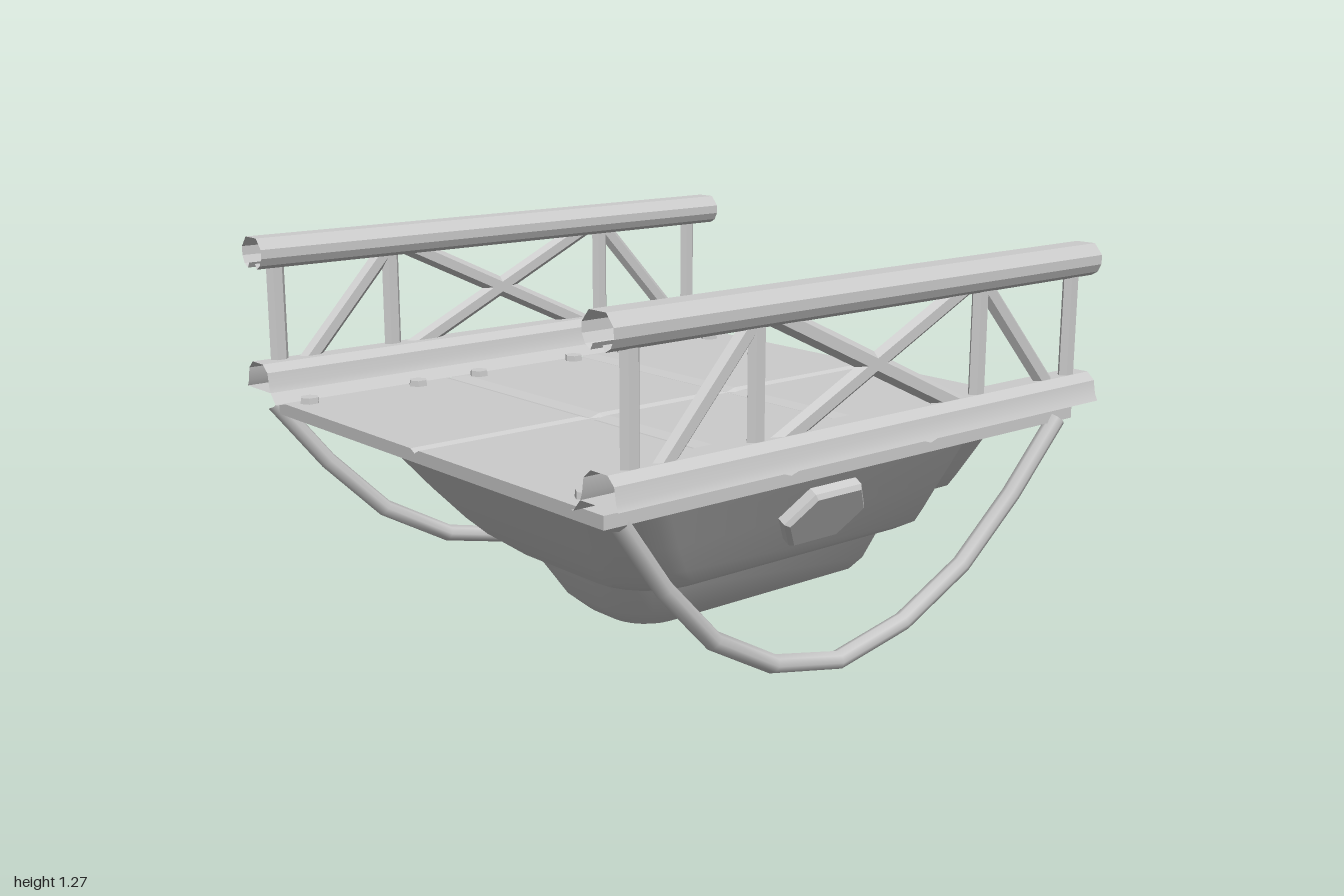
import * as THREE from 'three';
import { toCreasedNormals } from 'three/addons/utils/BufferGeometryUtils.js';

const grey = new THREE.MeshStandardMaterial({ color: 0xcccccc });
const flat = new THREE.MeshStandardMaterial({ color: 0xcccccc, flatShading: true });
const sheet = new THREE.MeshStandardMaterial({ color: 0xcccccc, side: THREE.DoubleSide });
const CX = -0.035; // centre line of hull and cables

function add(parent, name, geometry, material) {
  const mesh = new THREE.Mesh(geometry, material);
  mesh.name = name;
  parent.add(mesh);
  return mesh;
}

// Surface through rows of [x, y, z] points
function surface(rows, crease) {
  const n = rows[0].length, index = [];
  for (let i = 0; i < rows.length - 1; i++) {
    for (let j = 0; j < n - 1; j++) {
      const a = i * n + j, c = a + n;
      index.push(a, a + 1, c, a + 1, c + 1, c);
    }
  }
  const g = new THREE.BufferGeometry();
  g.setAttribute('position', new THREE.Float32BufferAttribute(rows.flat(2), 3));
  g.setIndex(index);
  return toCreasedNormals(g, crease);
}

// Bent sheet: an open x-y profile drawn along z
function bentSheet(profile) {
  return surface([-1, 1].map(z => profile.map(([x, y]) => [x, y, z])), 0.3);
}

// Deck plate with V grooves
function deckGeometry() {
  const xs = [-0.84, -0.03, -0.008, 0.015, 0.9];
  const zs = [-1, -0.345, -0.305, -0.265, 0.25, 0.29, 0.33, 0.97];
  const g = new THREE.BoxGeometry(1, 1, 1, xs.length - 1, 1, zs.length - 1);
  const p = g.attributes.position;
  for (let i = 0; i < p.count; i++) {
    const ix = Math.round((p.getX(i) + 0.5) * (xs.length - 1));
    const iz = Math.round((p.getZ(i) + 0.5) * (zs.length - 1));
    const groove = ix === 2 || iz === 2 || iz === 5 ? 0.012 : 0;
    p.setXYZ(i, xs[ix], p.getY(i) > 0 ? 0.73 - groove : 0.69, zs[iz]);
  }
  return g;
}

// Hull: U-shaped rings stacked from deck to keel, stepped inward at the open back
function hullGeometry() {
  // height, half width, front z
  const levels = [
    [0.69, 0.745, 0.8], [0.6, 0.69, 0.73], [0.45, 0.598, 0.62], [0.34, 0.53, 0.53],
    [0.28, 0.49, 0.47], [0.23, 0.395, 0.41], [0.23, 0.335, 0.385], [0.19, 0.31, 0.36],
    [0.09, 0.25, 0.3], [0.03, 0.185, 0.23], [0, 0.1, 0.13], [0, 0, 0.05],
  ];
  const back = [[-1, 1], [-0.83, 1], [-0.79, 0.25], [-0.75, 0]]; // z, inset amount
  const rows = levels.map(([y, w, front]) => {
    const half = back.map(([z, k]) =>
      [Math.max(w - 0.07 * k, 0), y + 0.115 * k * (1 - y / 0.69), z]);
    const r = Math.min(0.2, w * 0.7);
    for (let i = 0; i <= 6; i++) {
      const a = i / 6 * Math.PI / 2;
      half.push([w - r + r * Math.cos(a), y, front - r + r * Math.sin(a)]);
    }
    const other = half.map(([x, yy, z]) => [-x, yy, z]).reverse();
    return [...half, ...other].map(([x, yy, z]) => [x + CX, yy, z]);
  });
  return surface(rows, 0.6);
}

// Six-sided truss bar between two (z, y) points
function bar(parent, name, z0, y0, z1, y1) {
  const dz = z1 - z0, dy = y1 - y0;
  const m = add(parent, name, new THREE.CylinderGeometry(0.033, 0.033, Math.hypot(dz, dy), 6), flat);
  m.position.set(0.935, (y0 + y1) / 2, (z0 + z1) / 2);
  m.rotation.x = Math.atan2(dz, dy);
  m.scale.x = 0.62;
}

// One side railing, built on +x
function railing() {
  const g = new THREE.Group();
  g.name = 'railing';
  const topProfile = [[0.94, 1.19], [0.95, 1.172], [0.972, 1.185], [0.985, 1.21], [0.985, 1.24],
    [0.955, 1.275], [0.885, 1.275], [0.855, 1.24], [0.855, 1.21], [0.868, 1.185],
    [0.89, 1.172], [0.9, 1.19]];
  const lowProfile = [[0.84, 0.765], [1, 0.765], [0.99, 0.785], [0.982, 0.83], [0.955, 0.855],
    [0.885, 0.855], [0.855, 0.83], [0.848, 0.785], [0.84, 0.765], [0.81, 0.73], [0.8, 0.73]];
  add(g, 'topRail', bentSheet(topProfile), sheet);
  add(g, 'lowerRail', bentSheet(lowProfile), sheet);
  for (const s of [1, -1]) {
    bar(g, 'outerPost', s * 0.91, 0.765, s * 0.91, 1.23);
    bar(g, 'innerPost', s * 0.465, 0.765, s * 0.465, 1.23);
    bar(g, 'endBrace', s * 0.83, 0.81, s * 0.47, 1.2);
    bar(g, 'crossBrace', s * 0.405, 0.82, -s * 0.405, 1.2);
  }
  return g;
}

// Hanging cable, leaning inward toward the bottom
function cableGeometry() {
  const half = [[0.92, 0.7], [0.705, 0.43], [0.475, 0.22], [0.25, 0.115]];
  const path = [...half, [0, 0.065], ...half.map(([z, y]) => [-z, y]).reverse()];
  const pts = path.map(([z, y]) => new THREE.Vector3(0.855 + 0.126 * (y - 0.065), y, z));
  return new THREE.TubeGeometry(new THREE.CatmullRomCurve3(pts), 8, 0.03, 8);
}

// Hexagonal boss, bevelled, facing +z before it is turned
function bossGeometry() {
  const shape = new THREE.Shape([[0.165, 0], [0.095, 0.1], [-0.095, 0.1], [-0.165, 0],
    [-0.095, -0.1], [0.095, -0.1]].map(([x, y]) => new THREE.Vector2(x, y)));
  return new THREE.ExtrudeGeometry(shape, {
    depth: 0.05, bevelThickness: 0.015, bevelSize: 0.012, bevelSegments: 1,
  });
}

export function createModel() {
  const model = new THREE.Group();
  model.name = 'bridgeSection';

  add(model, 'deck', deckGeometry(), flat);
  add(model, 'hull', hullGeometry(), sheet);

  const boltGeometry = new THREE.CylinderGeometry(0.032, 0.035, 0.03, 6);
  for (const x of [-0.77, 0.73]) {
    for (const z of [-0.885, -0.455, -0.21, 0.215, 0.47, 0.895]) {
      add(model, 'deckBolt', boltGeometry, flat).position.set(x, 0.735, z);
    }
  }

  // Both sides: the second is the first turned half way round
  for (const turn of [0, Math.PI]) {
    const rail = railing();
    rail.rotation.y = turn;
    model.add(rail);

    const cable = add(model, 'cable', cableGeometry(), grey);
    cable.position.x = CX;
    cable.rotation.y = turn;

    const side = new THREE.Group();
    side.name = 'hullBoss';
    side.position.set(CX, 0, -0.16);
    side.rotation.y = turn;
    const boss = add(side, 'boss', bossGeometry(), flat);
    boss.position.set(0.59, 0.475, 0);
    boss.rotation.set(0.55, Math.PI / 2, 0, 'YXZ');
    model.add(side);
  }
  return model;
}
